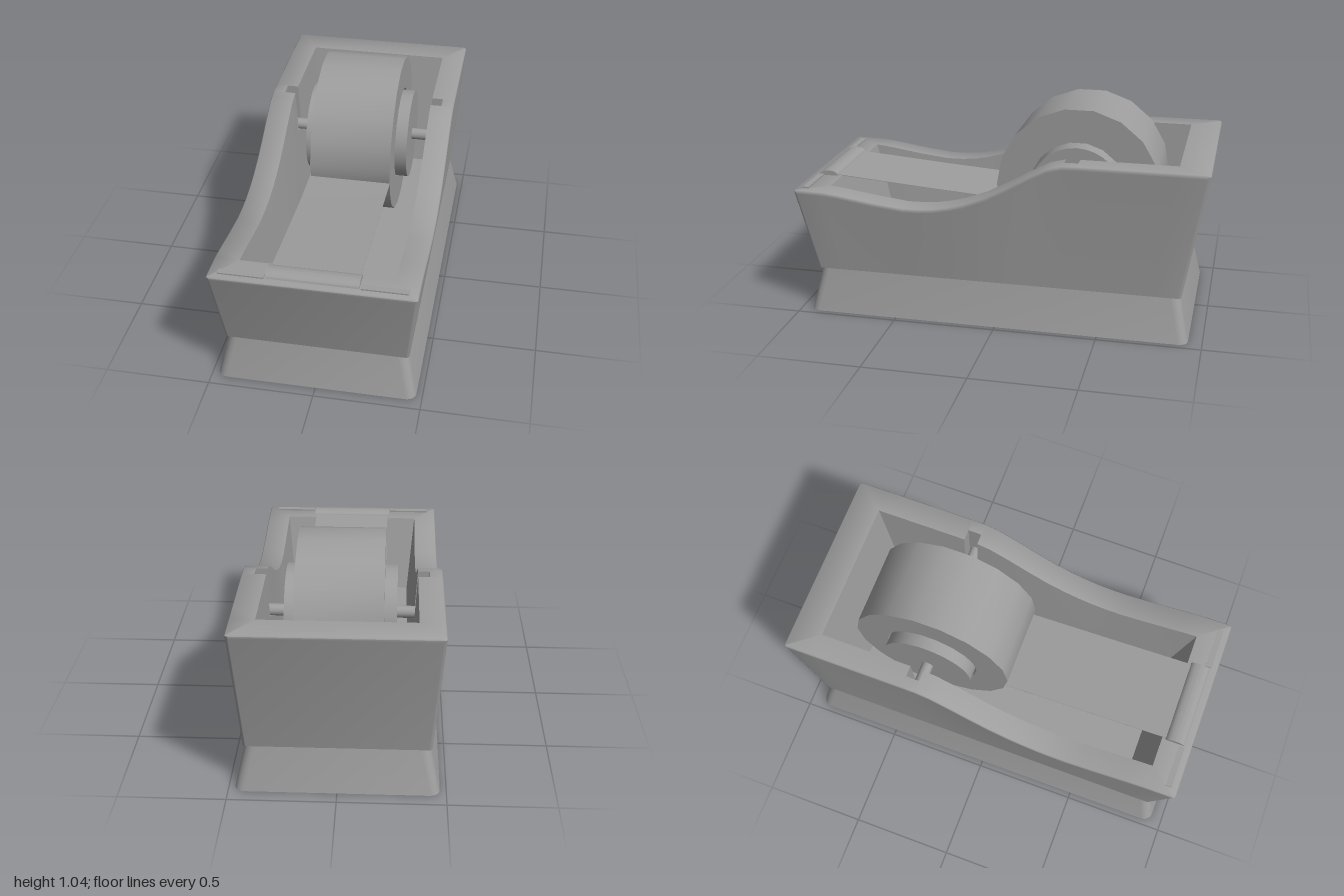
import * as THREE from 'three';
import { toCreasedNormals } from 'three/addons/utils/BufferGeometryUtils.js';

const material = new THREE.MeshStandardMaterial({ color: 0x9d9d9d, side: THREE.DoubleSide });
const { lerp, clamp } = THREE.MathUtils;

function part(name, geometry, crease = 0.55) {
  const mesh = new THREE.Mesh(toCreasedNormals(geometry, crease), material);
  mesh.name = name;
  return mesh;
}

// Height of the rim along z: low front, dip, then a rise to the flat back
const rimCurve = [[-1, 0.845], [-0.33, 0.845], [-0.25, 0.825], [-0.15, 0.772], [-0.05, 0.713], [0.05, 0.66],
  [0.15, 0.62], [0.22, 0.6], [0.3, 0.584], [0.37, 0.578], [0.45, 0.577], [0.6, 0.594], [0.72, 0.612], [0.83, 0.628], [1, 0.632]];
function rimY(z) {
  let i = 1;
  while (i < rimCurve.length - 1 && rimCurve[i][0] < z) i++;
  const [a, b] = [rimCurve[i - 1], rimCurve[i]];
  return lerp(a[1], b[1], clamp((z - a[0]) / (b[0] - a[0]), 0, 1));
}

// Completes a +x half outline (front to back) with its mirror image
const mirrored = (half) => [...half, ...half.map((p) => new THREE.Vector3(-p.x, p.y, p.z)).reverse()];

// Skins successive rings and caps the first and last
function loft(rings) {
  const pos = [];
  const tri = (a, b, c) => {
    const area = b.clone().sub(a).cross(c.clone().sub(a)).length();
    if (area > 1e-8) for (const p of [a, b, c]) pos.push(p.x, p.y, p.z);
  };
  const n = rings[0].length;
  const middle = (ring) => ring.reduce((s, p) => s.add(p), new THREE.Vector3()).divideScalar(n).setX(0);
  const first = middle(rings[0]), last = middle(rings[rings.length - 1]);
  for (let i = 0; i < n; i++) {
    const j = (i + 1) % n;
    for (let k = 0; k + 1 < rings.length; k++) {
      const a = rings[k], b = rings[k + 1];
      tri(a[i], a[j], b[j]);
      tri(a[i], b[j], b[i]);
    }
    tri(first, rings[0][j], rings[0][i]);
    tri(last, rings[rings.length - 1][i], rings[rings.length - 1][j]);
  }
  const geometry = new THREE.BufferGeometry();
  geometry.setAttribute('position', new THREE.Float32BufferAttribute(pos, 3));
  return geometry;
}

// Rounded-corner half outline; sides holds z fractions from front (1) to back (-1)
function halfOutline(x, front, back, r, sides, y) {
  const pts = [];
  const add = (px, z) => pts.push(new THREE.Vector3(px, y(z), z));
  const arc = [0, 1, 2, 3, 4].map((i) => (i * Math.PI) / 8);
  for (const a of arc) add(x - r + r * Math.sin(a), front - r + r * Math.cos(a));
  for (const s of sides) add(x, s > 0 ? s * front : -s * back);
  for (const a of arc) add(x - r + r * Math.cos(a), back + r - r * Math.sin(a));
  return pts;
}

function buildBase() {
  const ring = (x, f, b, y) => mirrored(halfOutline(x, f, b, 0.045, [], () => y));
  return part('base', loft([ring(0.471, 0.945, -0.933, 0), ring(0.421, 0.897, -0.882, 0.222)]));
}

function buildBody() {
  const notch = [-0.322, -0.322, -0.39, -0.39];
  const sides = [0.85, 0.78, 0.72, 0.66, 0.6, 0.52, 0.45, 0.37, 0.3, 0.22, 0.15, 0.1, 0.05, 0, -0.05,
    -0.1, -0.15, -0.2, -0.25, -0.29, ...notch, -0.5, -0.75, -0.85];
  const notchAt = 5 + sides.indexOf(-0.322);
  const outer = (x, f, b, y) => halfOutline(x, f, b, 0.015, sides, y);
  const top = outer(0.472, 1, -1, rimY);

  // Tapered cavity wall; the notch widens it where the axle drops in
  const inner = (heightAt, withNotch) => mirrored(top.map((p, i) => {
    const zTop = clamp(p.z, -0.85, 0.85);
    const yTop = rimY(zTop), y = heightAt(yTop);
    const t = (yTop - y) / (yTop - 0.24);
    const limit = lerp(0.85, 0.75, t);
    const cut = withNotch && (i === notchAt + 1 || i === notchAt + 2);
    return new THREE.Vector3(cut ? 0.41 : lerp(0.355, 0.32, t), y, clamp(p.z, -limit, limit));
  }));
  const ledge = (y) => Math.min(0.615, y - 0.03);
  // Outer wall, softly rounded lip, then the cavity
  return part('body', loft([
    mirrored(outer(0.431, 0.906, -0.89, () => 0.218)),
    mirrored(outer(0.4705, 0.997, -0.997, (z) => rimY(z) - 0.018)),
    mirrored(outer(0.472, 1, -1, (z) => rimY(z) - 0.006)),
    mirrored(outer(0.467, 0.995, -0.995, rimY)),
    inner((y) => y, true),
    inner(ledge, true),
    inner(ledge, false),
    inner(() => 0.24, false),
  ]), 0.95);
}

// Turned part lying along x
function turned(name, points, segments) {
  const g = new THREE.LatheGeometry(points.map(([r, y]) => new THREE.Vector2(r, y)), segments);
  return part(name, g.rotateZ(Math.PI / 2));
}

function buildRoll() {
  const group = new THREE.Group();
  group.name = 'rollAssembly';
  group.position.set(0, 0.645, -0.355);
  const w = 0.202;
  group.add(turned('tapeRoll', [[0.237, -w], [0.401, -w], [0.401, w], [0.237, w], [0.237, -w]], 18));
  group.add(turned('hub', [[0, -0.26], [0.226, -0.26], [0.226, 0.26], [0, 0.26]], 32));
  group.add(turned('axle', [[0, -0.409], [0.029, -0.409], [0.029, 0.409], [0, 0.409]], 16));
  return group;
}

// Profile in (z, y) extruded across the width
function across(name, shape, width) {
  const g = new THREE.ExtrudeGeometry(shape, { depth: width, bevelEnabled: false, curveSegments: 10 });
  return part(name, g.translate(0, 0, -width / 2).rotateY(-Math.PI / 2));
}

export function createModel() {
  const model = new THREE.Group();
  model.name = 'tapeDispenser';
  model.add(buildBase(), buildBody(), buildRoll());

  // Loose tape from the roll to the cutter
  const strip = new THREE.Shape([[0.02, 0.57], [0.4, 0.596], [0.89, 0.634], [0.89, 0.637], [0.4, 0.599], [0.02, 0.573]]
    .map(([z, y]) => new THREE.Vector2(z, y)));
  model.add(across('tapeStrip', strip, 0.404));

  // Rounded cutter bar with a low rail on each side
  const bar = new THREE.Shape();
  bar.absellipse(0.915, 0.63, 0.048, 0.025, 0, Math.PI);
  model.add(across('cutterBar', bar, 0.42));
  for (const side of [-1, 1]) {
    const rail = part('cutterRail', new THREE.BoxGeometry(0.21, 0.01, 0.03));
    rail.position.set(side * 0.322, 0.633, 0.953);
    model.add(rail);
  }
  return model;
}
